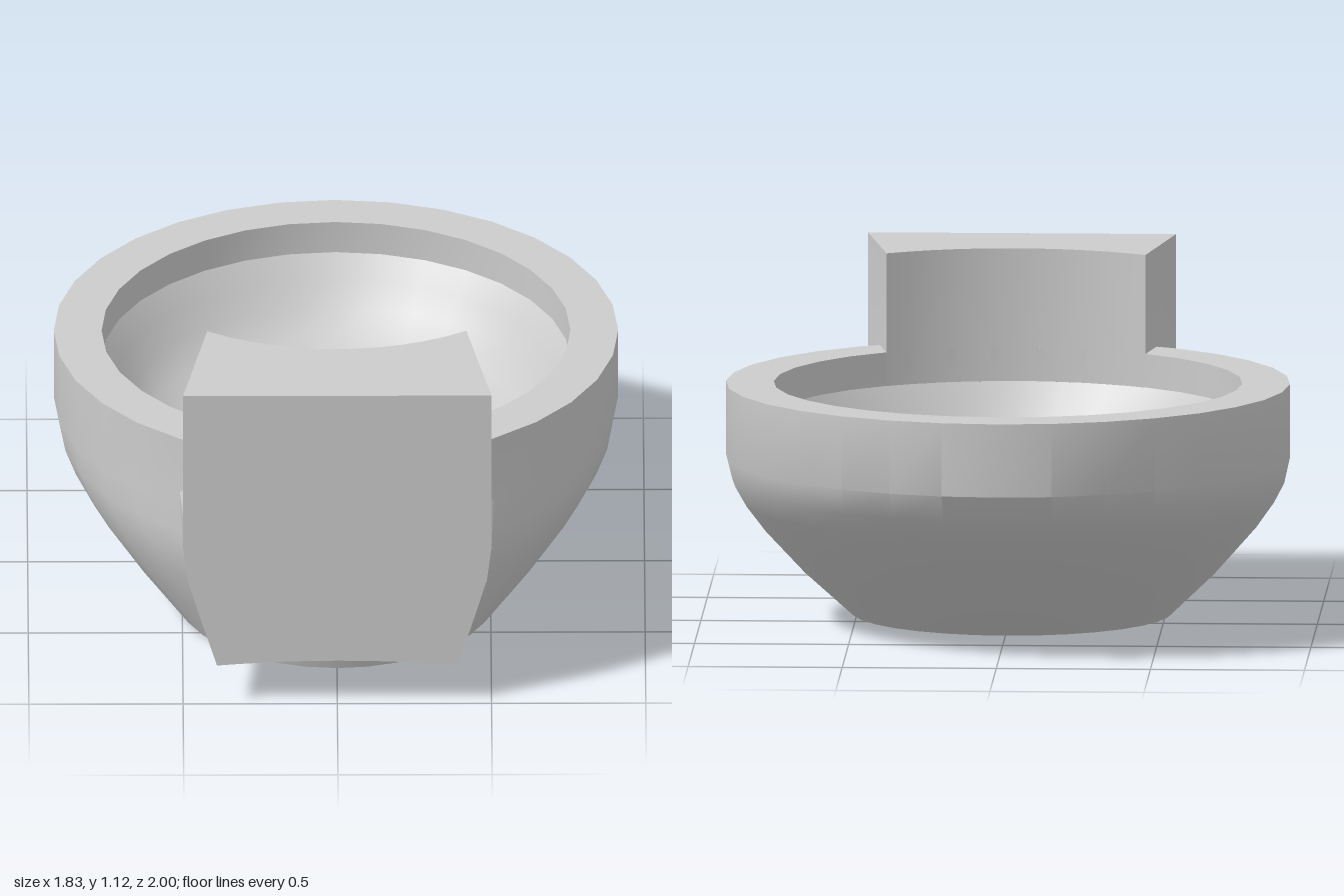
import * as THREE from 'three';
import { toCreasedNormals } from 'three/addons/utils/BufferGeometryUtils.js';

const material = new THREE.MeshStandardMaterial({ color: 0xcccccc });
const BOWL_Z = -0.085; // centre of the rim

// Skin a stack of closed rings (anticlockwise seen from above, bottom ring first)
function loft(name, rings, crease) {
  const pos = [];
  const tri = (a, b, c) => {
    if (a.distanceTo(b) < 1e-6 || b.distanceTo(c) < 1e-6 || c.distanceTo(a) < 1e-6) return;
    for (const p of [a, b, c]) pos.push(p.x, p.y, p.z);
  };
  for (let k = 0; k < rings.length - 1; k++) {
    const low = rings[k], high = rings[k + 1], n = low.length;
    for (let i = 0; i < n; i++) {
      const j = (i + 1) % n;
      tri(low[i], low[j], high[j]);
      tri(low[i], high[j], high[i]);
    }
  }
  const geometry = new THREE.BufferGeometry();
  geometry.setAttribute('position', new THREE.Float32BufferAttribute(pos, 3));
  const mesh = new THREE.Mesh(toCreasedNormals(geometry, crease), material);
  mesh.name = name;
  return mesh;
}

// Bowl: circles whose centre slides backward as they rise, then down inside
function createBowl() {
  const profile = [ // radius, height, centre z
    [0, 0, 0.23], [0.52, 0, 0.23], [0.675, 0.16, 0.125], [0.8, 0.31, 0.045],
    [0.86, 0.4, -0.01], [0.895, 0.47, -0.05], [0.915, 0.56, BOWL_Z],
    [0.915, 0.8, BOWL_Z], [0.76, 0.8, BOWL_Z], [0.76, 0.69, BOWL_Z],
    [0.71, 0.62, -0.08], [0.665, 0.545, -0.075], [0.6, 0.475, -0.065],
    [0.5, 0.42, -0.045], [0.36, 0.37, 0], [0.2, 0.335, 0.06], [0, 0.31, 0.12],
  ];
  const sides = 32;
  const rings = profile.map(([r, y, cz]) => Array.from({ length: sides }, (_, i) => {
    const t = (i / sides) * Math.PI * 2;
    return new THREE.Vector3(r * Math.sin(t), y, cz + r * Math.cos(t));
  }));
  return loft('bowl', rings, 0.54);
}

// Tank: flat outer face, hollow inner face flush with the bowl's inner wall
function createTank() {
  const levels = [ // height, half width at outer face, half width at bowl, inner radius
    [0.14, 0.39, 0.375, 0.73], [0.3, 0.44, 0.45, 0.78], [0.45, 0.485, 0.5, 0.8],
    [0.57, 0.5, 0.513, 0.8], [0.68, 0.5, 0.43, 0.8], [0.69, 0.5, 0.42, 0.757],
    [1.125, 0.5, 0.42, 0.757],
  ];
  const n = 12;
  const rings = levels.map(([y, outer, inner, r], level) => {
    const ring = [];
    for (let i = 0; i <= 2 * n + 1; i++) {
      const back = i > n;
      const u = back ? 1 - (2 * (i - n - 1)) / n : (2 * i) / n - 1;
      const x = u * (back ? inner : outer);
      const z = back ? BOWL_Z + Math.sqrt(r * r - x * x) : 1;
      // the underside is slightly arched and rises toward the bowl
      const lift = level === 0 ? 0.017 * (1 - u * u) + 0.08 * (1 - z) : 0;
      ring.push(new THREE.Vector3(x, y + lift, z));
    }
    return ring;
  });
  // Close each end by folding opposite points onto their midline
  const cap = (ring) => ring.map((p, i) => p.clone().lerp(ring[ring.length - 1 - i], 0.5));
  return loft('tank', [cap(rings[0]), ...rings, cap(rings[rings.length - 1])], 0.5);
}

export function createModel() {
  const model = new THREE.Group();
  model.name = 'toilet';
  model.add(createBowl(), createTank());
  return model;
}
